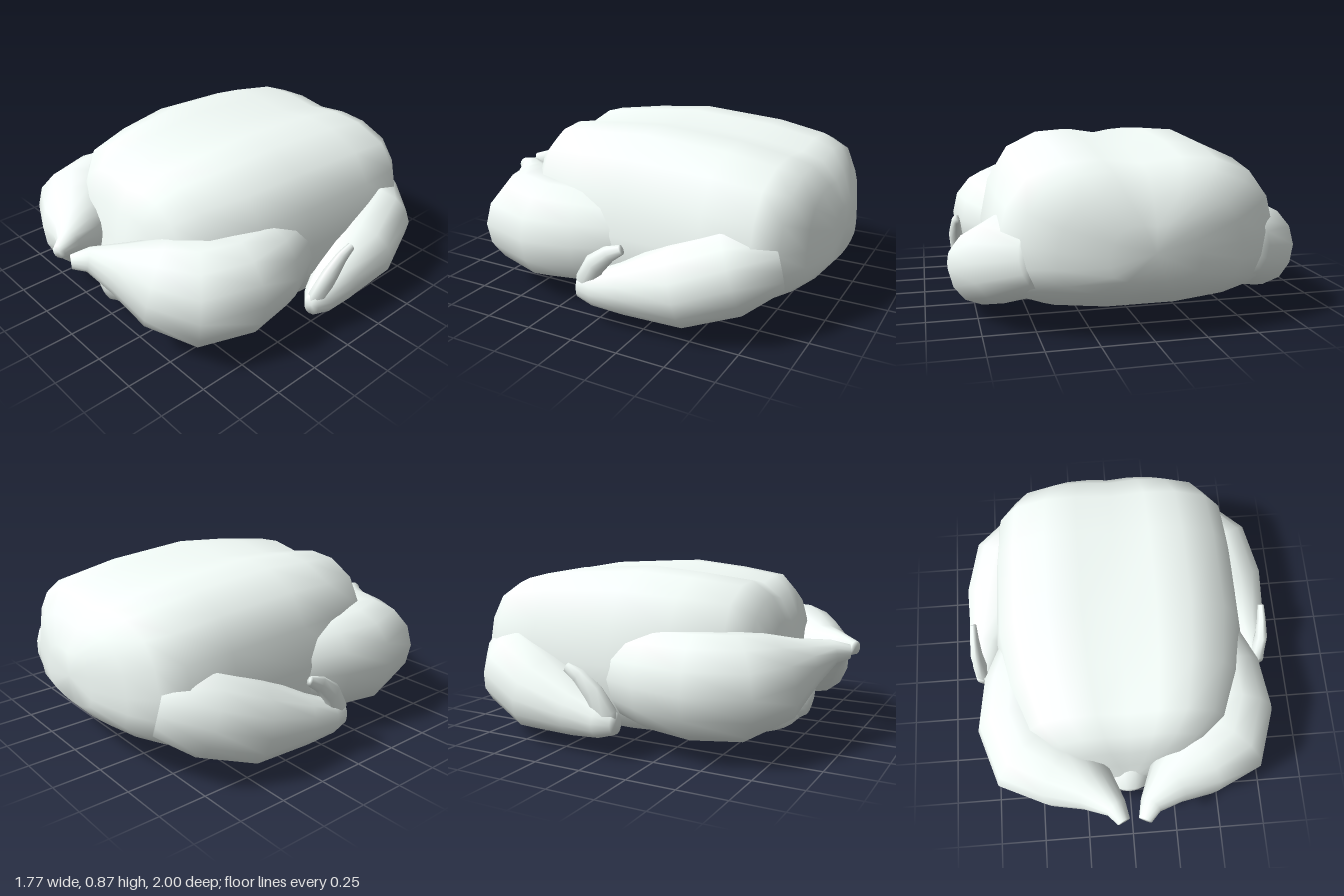
import * as THREE from 'three';

const material = new THREE.MeshStandardMaterial({ color: 0xf4fdf9, side: THREE.DoubleSide });

// Skin a list of closed rings (counter-clockwise about the travel direction), with rounded caps.
function skin(name, rings) {
  const n = rings[0].length, pos = [], index = [];
  rings.forEach(r => r.forEach(p => pos.push(p.x, p.y, p.z)));
  for (let i = 0; i < rings.length - 1; i++) {
    for (let j = 0; j < n; j++) {
      const a = i * n + j, b = i * n + (j + 1) % n;
      index.push(a, b, b + n, a, b + n, a + n);
    }
  }
  const last = rings.length - 1;
  [0, last].forEach(e => {
    const c = new THREE.Vector3();
    rings[e].forEach(p => c.addScaledVector(p, 1 / n));
    const k = pos.length / 3;
    pos.push(c.x, c.y, c.z);
    for (let j = 0; j < n; j++) {
      const a = e * n + j, b = e * n + (j + 1) % n;
      if (e) index.push(a, b, k); else index.push(b, a, k);
    }
  });
  const g = new THREE.BufferGeometry();
  g.setAttribute('position', new THREE.Float32BufferAttribute(pos, 3));
  g.setIndex(index);
  g.computeVertexNormals();
  const mesh = new THREE.Mesh(g, material);
  mesh.name = name;
  return mesh;
}

// Oval sweep with a fuller underside: each station is [x, y, z, half width, half height];
// up steers the height axis.
function limb(name, stations, side, up, sides = 14) {
  const centres = stations.map(s => new THREE.Vector3(s[0] * side, s[1], s[2]));
  const rings = stations.map((s, i) => {
    const t = centres[Math.min(i + 1, centres.length - 1)].clone()
      .sub(centres[Math.max(i - 1, 0)]).normalize();
    const b = up.clone().addScaledVector(t, -up.dot(t)).normalize();
    const a = b.clone().cross(t);
    return Array.from({ length: sides }, (_, j) => {
      const w = j / sides * Math.PI * 2, c = Math.cos(w), v = Math.sin(w);
      const u = v < 0 ? Math.sign(c) * Math.abs(c) ** 0.75 : c;
      return centres[i].clone().addScaledVector(a, s[3] * u).addScaledVector(b, s[4] * v);
    });
  });
  return skin(name, rings);
}

// Half of the body section, bottom to top: x as part of half width, y as part of height.
const half = [[0, 0], [0.25, 0], [0.62, 0.04], [0.92, 0.13], [1, 0.3], [1, 0.48],
  [0.94, 0.71], [0.8, 0.89], [0.54, 0.985], [0.28, 1], [0, 0.965]];
const section = [...half, ...half.slice(1, -1).reverse().map(([x, y]) => [-x, y])];

// Body stations: z, half width, bottom, top.
const bodyStations = [
  [-1, 0.21, 0.28, 0.54], [-0.94, 0.43, 0.21, 0.66], [-0.86, 0.58, 0.155, 0.76],
  [-0.75, 0.67, 0.1, 0.8], [-0.5, 0.69, 0.025, 0.845], [-0.05, 0.69, 0.003, 0.875],
  [0.25, 0.64, 0.008, 0.85], [0.5, 0.55, 0.02, 0.82], [0.6, 0.44, 0.035, 0.74],
  [0.66, 0.34, 0.045, 0.62], [0.69, 0.22, 0.06, 0.45], [0.73, 0.1, 0.1, 0.34]];

const legStations = [
  [0.44, 0.36, -0.3, 0.14, 0.15], [0.51, 0.36, 0.0, 0.185, 0.22], [0.55, 0.36, 0.18, 0.23, 0.25],
  [0.56, 0.355, 0.38, 0.26, 0.26], [0.49, 0.355, 0.56, 0.28, 0.26], [0.33, 0.375, 0.68, 0.215, 0.225],
  [0.19, 0.435, 0.8, 0.125, 0.125], [0.09, 0.48, 0.91, 0.06, 0.06], [0.055, 0.48, 0.985, 0.035, 0.035]];

const wingStations = [
  [0.49, 0.385, -0.82, 0.12, 0.15], [0.6, 0.34, -0.64, 0.215, 0.21], [0.67, 0.25, -0.4, 0.225, 0.2],
  [0.76, 0.205, -0.15, 0.125, 0.125], [0.79, 0.185, 0, 0.085, 0.085], [0.81, 0.185, 0.08, 0.04, 0.055]];

const wingTipStations = [
  [0.79, 0.13, 0.03, 0.04, 0.04], [0.81, 0.23, 0.03, 0.06, 0.04], [0.825, 0.33, -0.03, 0.055, 0.035],
  [0.825, 0.4, -0.11, 0.04, 0.025], [0.825, 0.435, -0.18, 0.025, 0.018]];

export function createModel() {
  const group = new THREE.Group();
  const yAxis = new THREE.Vector3(0, 1, 0), xAxis = new THREE.Vector3(1, 0, 0);

  // Plump body
  group.add(skin('body', bodyStations.map(([z, w, lo, hi]) =>
    section.map(([x, y]) => new THREE.Vector3(x * w, lo + y * (hi - lo), z)))));

  // Tail stub between the legs
  group.add(limb('tail', [[0, 0.25, 0.5, 0.2, 0.22], [0, 0.23, 0.65, 0.15, 0.18],
    [0, 0.18, 0.74, 0.11, 0.12], [0, 0.17, 0.775, 0.04, 0.06]], 1, yAxis));

  // Mirrored legs and folded wings
  for (const [label, side] of [['left', 1], ['right', -1]]) {
    group.add(limb(label + 'Leg', legStations, side, yAxis));
    const wing = new THREE.Group();
    wing.name = label + 'Wing';
    wing.add(limb(label + 'WingArm', wingStations, side, yAxis));
    wing.add(limb(label + 'WingTip', wingTipStations, side, xAxis, 8));
    group.add(wing);
  }
  return group;
}
